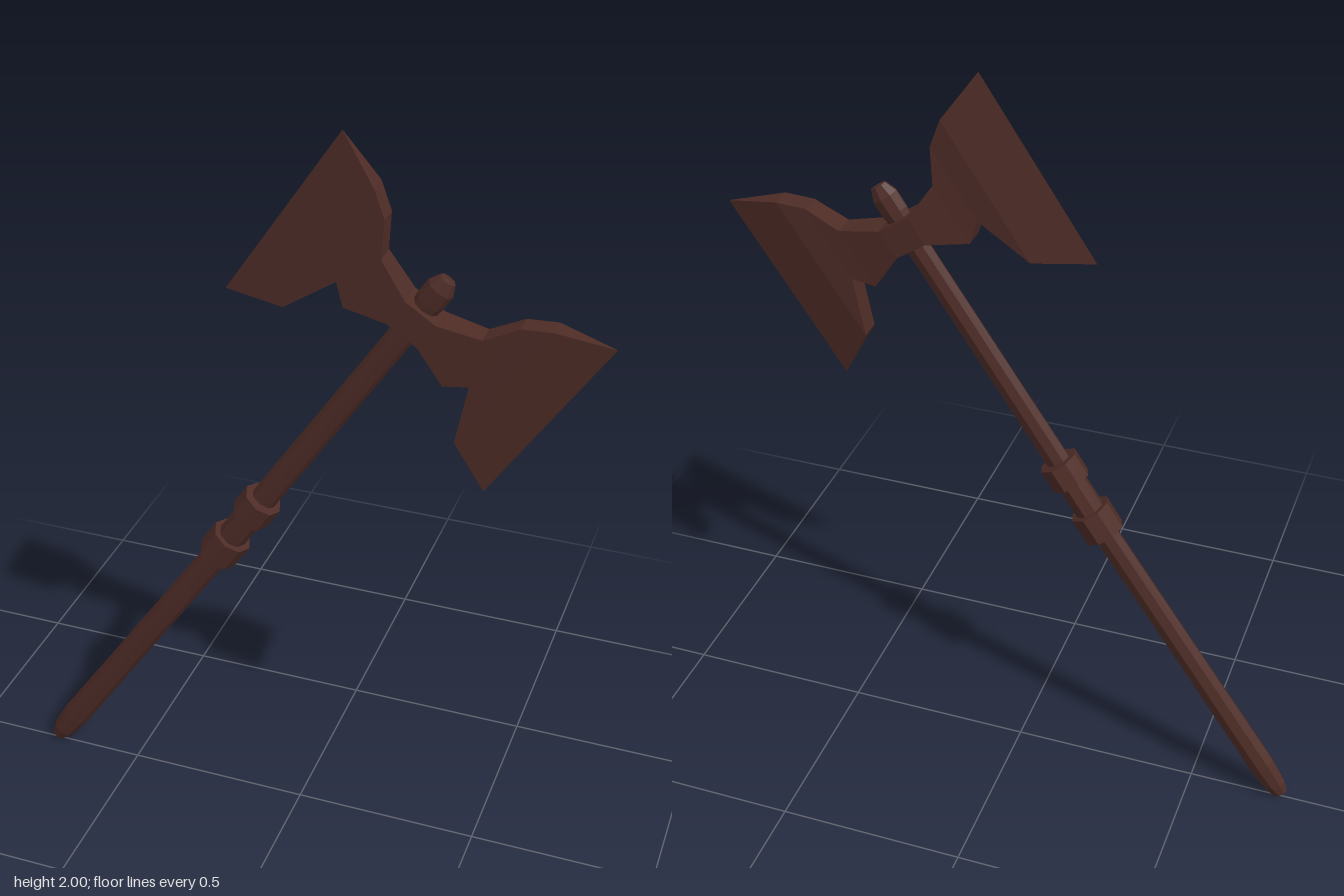
import * as THREE from 'three';

const material = new THREE.MeshStandardMaterial({ color: 0x4e2c26, flatShading: true });

function add(group, name, geometry) {
  const mesh = new THREE.Mesh(geometry, material);
  mesh.name = name;
  group.add(mesh);
  return mesh;
}

// Double blade lofted from rectangular cross-sections [x, low, high, half thickness]
function bladeGeometry() {
  const half = [
    [0.045, -0.036, 0.042, 0.04],
    [0.149, -0.081, 0.084, 0.031],
    [0.198, -0.039, 0.168, 0.028],
    [0.26, -0.186, 0.214, 0.028],
    [0.397, -0.262, 0.266, 0],
  ];
  const mirrored = half.map(([x, lo, hi, t]) => [-x, lo, hi, t]).reverse();
  const rings = [...mirrored, ...half].map(([x, lo, hi, t]) => [
    [x, lo, t], [x, hi, t], [x, hi, -t], [x, lo, -t],
  ]);
  const positions = [];
  for (let i = 0; i < rings.length - 1; i++) {
    const a = rings[i], b = rings[i + 1];
    for (let k = 0; k < 4; k++) {
      const n = (k + 1) % 4;
      for (const p of [a[k], b[k], b[n], a[k], b[n], a[n]]) positions.push(...p);
    }
  }
  const geometry = new THREE.BufferGeometry();
  geometry.setAttribute('position', new THREE.Float32BufferAttribute(positions, 3));
  geometry.computeVertexNormals();
  return geometry;
}

// Oval eight-sided shaft, rounded at both ends, drifting slightly sideways near the butt
function shaftGeometry() {
  const profile = [
    [0, -1.862], [0.021, -1.858], [0.032, -1.825], [0.038, -1.75], [0.036, -1.4],
    [0.035, -0.9], [0.033, -0.5], [0.032, 0.03], [0.036, 0.06], [0.036, 0.105],
    [0.022, 0.135], [0, 0.138],
  ].map(([r, y]) => new THREE.Vector2(r, y));
  const geometry = new THREE.LatheGeometry(profile, 8);
  geometry.scale(1, 1, 0.76);
  const p = geometry.attributes.position;
  for (let i = 0; i < p.count; i++) {
    const below = Math.max(0, -0.9 - p.getY(i));
    p.setX(i, p.getX(i) - 0.015 * below);
  }
  geometry.computeVertexNormals();
  return geometry;
}

export function createModel() {
  const model = new THREE.Group();
  model.name = 'doubleAxe';

  // Everything is built upright around the head, then leaned over
  const axe = new THREE.Group();
  axe.name = 'leaningAxe';
  axe.position.set(0.285, 1.56, 0);
  axe.rotation.z = -0.583;
  model.add(axe);

  add(axe, 'shaft', shaftGeometry());
  add(axe, 'doubleBlade', bladeGeometry());

  // Grip section between two collars
  add(axe, 'gripSleeve', new THREE.CylinderGeometry(0.038, 0.039, 0.16, 8)).position.y = -0.815;
  add(axe, 'lowerCollar', new THREE.CylinderGeometry(0.055, 0.055, 0.078, 8)).position.y = -0.897;
  add(axe, 'upperCollar', new THREE.CylinderGeometry(0.053, 0.053, 0.066, 8)).position.y = -0.733;

  return model;
}
